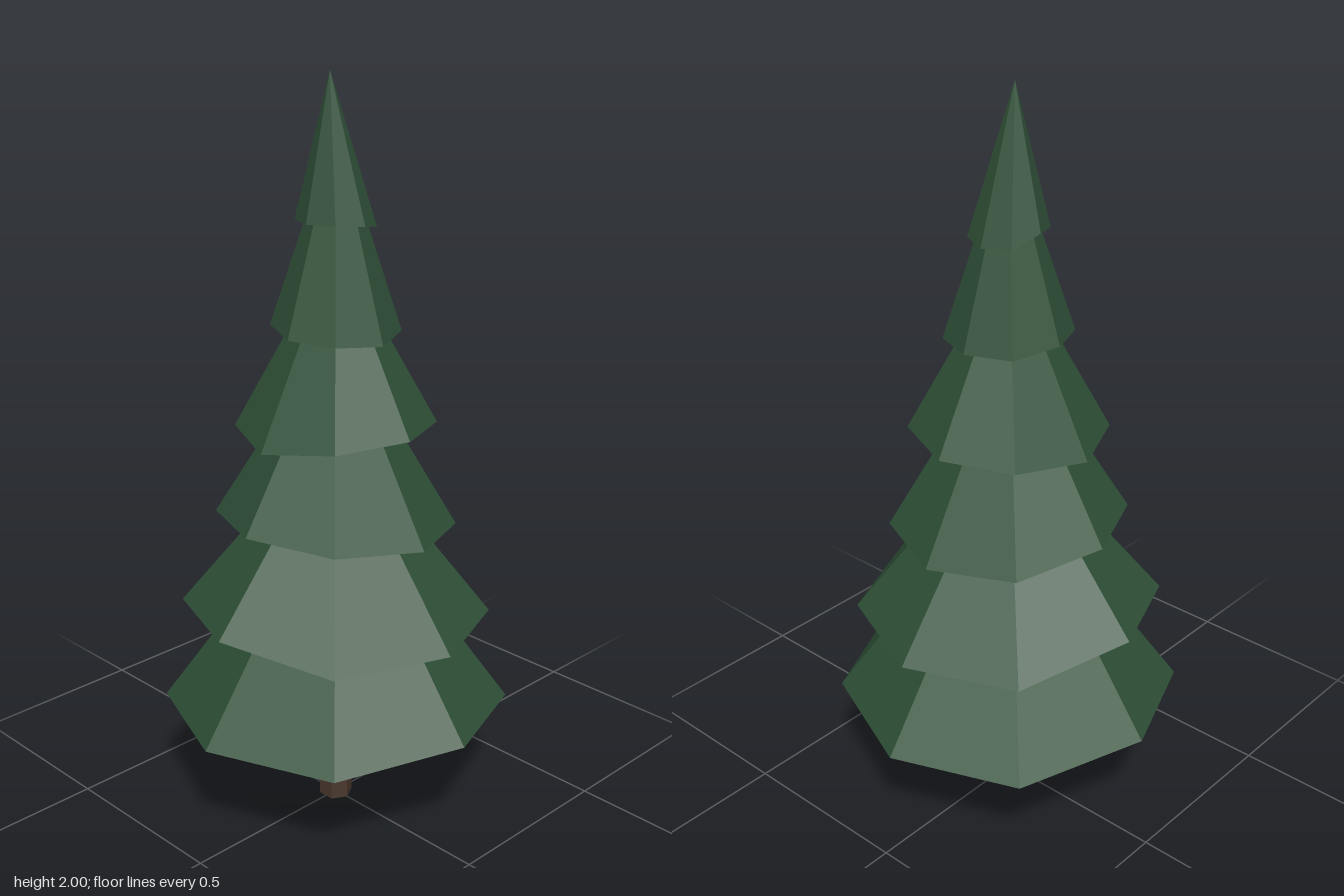
import * as THREE from 'three';

const green = new THREE.MeshStandardMaterial({ color: 0x2f5138 });
green.name = 'needleGreen';
const brown = new THREE.MeshStandardMaterial({ color: 0x4a382e });
brown.name = 'barkBrown';

// Give every face its own normal
function facet(geometry) {
  const flat = geometry.toNonIndexed();
  flat.computeVertexNormals();
  return flat;
}

// Eight-sided solid cone; rim holds the height of each rim corner, from +z round through +x
function makeTier({ radius, apex, rim, lean = [0, 0] }) {
  const geometry = new THREE.ConeGeometry(radius, 1, 8);
  const pos = geometry.attributes.position;
  const mean = rim.reduce((a, b) => a + b) / rim.length;
  for (let i = 0; i < pos.count; i++) {
    const x = pos.getX(i), z = pos.getZ(i);
    if (pos.getY(i) > 0) {
      pos.setXYZ(i, lean[0], apex, lean[1]);
    } else if (Math.hypot(x, z) < 0.001) {
      pos.setY(i, mean);
    } else {
      const corner = (Math.round(Math.atan2(x, z) / (Math.PI / 4)) + 8) % 8;
      pos.setY(i, rim[corner]);
    }
  }
  return new THREE.Mesh(facet(geometry), green);
}

export function createModel() {
  const tree = new THREE.Group();
  tree.name = 'pineTree';

  // Six-sided trunk, slightly tapered
  const trunk = new THREE.Mesh(facet(new THREE.CylinderGeometry(0.041, 0.046, 0.5, 6)), brown);
  trunk.name = 'trunk';
  trunk.position.y = 0.25;
  tree.add(trunk);

  // Branch tiers from bottom to top, each with an uneven rim
  const tiers = [
    { radius: 0.47, apex: 0.96, rim: [0.34, 0.31, 0.305, 0.3, 0.33, 0.31, 0.325, 0.32] },
    { radius: 0.415, apex: 1.1, rim: [0.58, 0.57, 0.565, 0.565, 0.62, 0.6, 0.62, 0.575] },
    { radius: 0.318, apex: 1.37, rim: [0.84, 0.825, 0.815, 0.825, 0.86, 0.86, 0.875, 0.86] },
    { radius: 0.262, apex: 1.58, rim: [1.12, 1.11, 1.105, 1.1, 1.09, 1.1, 1.085, 1.11] },
    { radius: 0.167, apex: 1.87, rim: [1.345, 1.355, 1.36, 1.36, 1.375, 1.37, 1.36, 1.355] },
    { radius: 0.102, apex: 2, rim: [1.635, 1.62, 1.615, 1.615, 1.65, 1.64, 1.64, 1.64], lean: [-0.012, -0.008] },
  ];
  tiers.forEach((tier, i) => {
    const mesh = makeTier(tier);
    mesh.name = `branchTier${i + 1}`;
    tree.add(mesh);
  });
  return tree;
}
